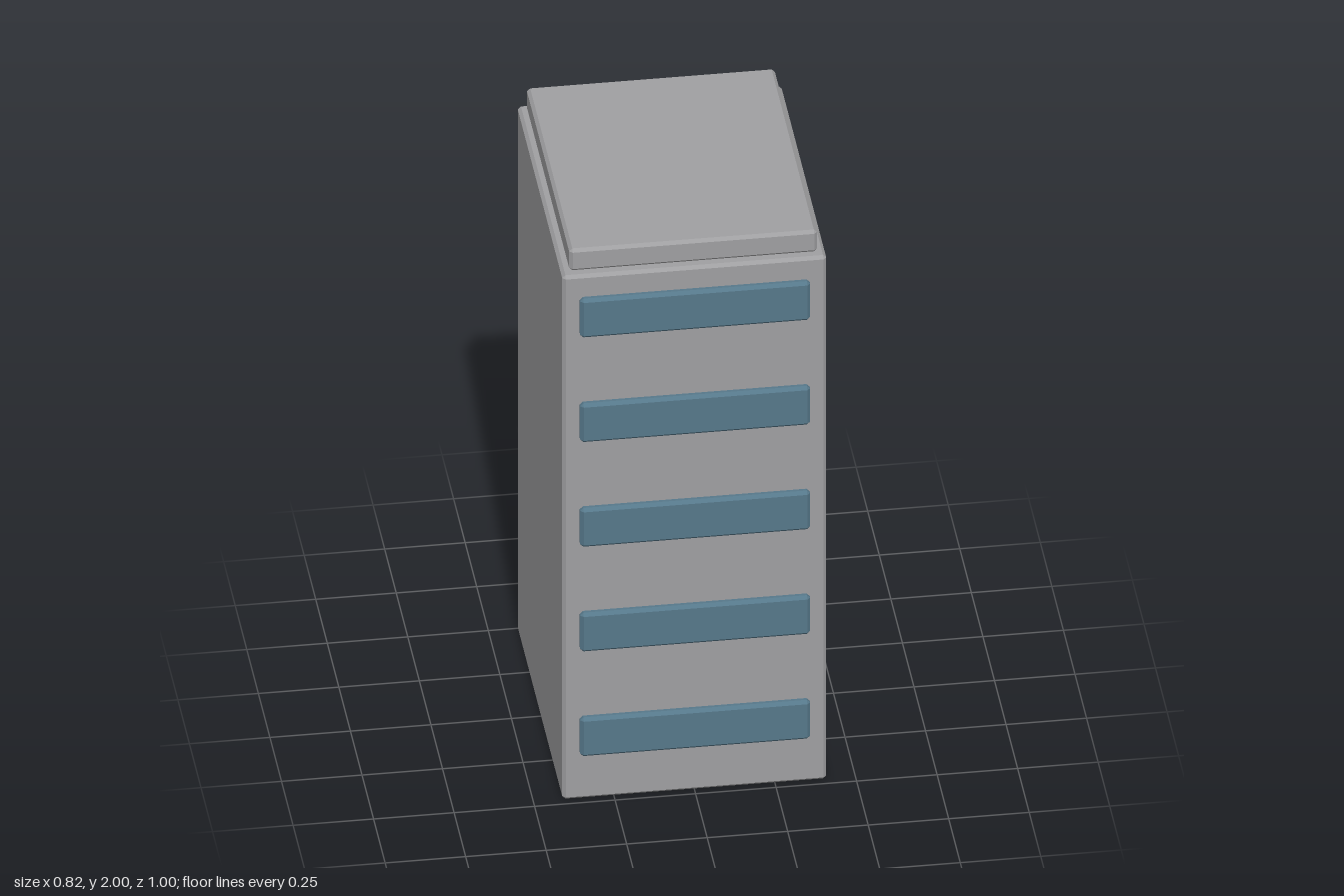
import * as THREE from 'three';
import { ConvexGeometry } from 'three/addons/geometries/ConvexGeometry.js';

const grey = new THREE.MeshStandardMaterial({ color: 0x9f9fa1 });
grey.name = 'concreteGrey';
const blue = new THREE.MeshStandardMaterial({ color: 0x56788a });
blue.name = 'glassBlue';

// Box with every edge cut at 45 degrees by the bevel b
function chamferBox(w, h, d, b) {
  const half = [w / 2, h / 2, d / 2];
  const points = [];
  for (const sx of [-1, 1]) for (const sy of [-1, 1]) for (const sz of [-1, 1]) {
    for (let face = 0; face < 3; face++) {
      const [x, y, z] = half.map((v, axis) => (axis === face ? v : v - b));
      points.push(new THREE.Vector3(sx * x, sy * y, sz * z));
    }
  }
  return new ConvexGeometry(points);
}

export function createModel() {
  const model = new THREE.Group();
  model.name = 'officeTower';

  const add = (name, geometry, material, y, z) => {
    const mesh = new THREE.Mesh(geometry, material);
    mesh.name = name;
    mesh.position.set(0, y, z);
    model.add(mesh);
  };

  // Main block and the roof slab on top
  add('towerBody', chamferBox(0.82, 1.92, 0.98, 0.01), grey, 0.96, -0.01);
  add('roofSlab', chamferBox(0.77, 0.08, 0.93, 0.01), grey, 1.96, -0.01);

  // One window band per floor, set into the front wall
  const band = chamferBox(0.714, 0.142, 0.04, 0.01);
  for (let floor = 0; floor < 5; floor++) {
    add('windowBand' + (floor + 1), band, blue, 0.235 + floor * 0.384, 0.48);
  }
  return model;
}
